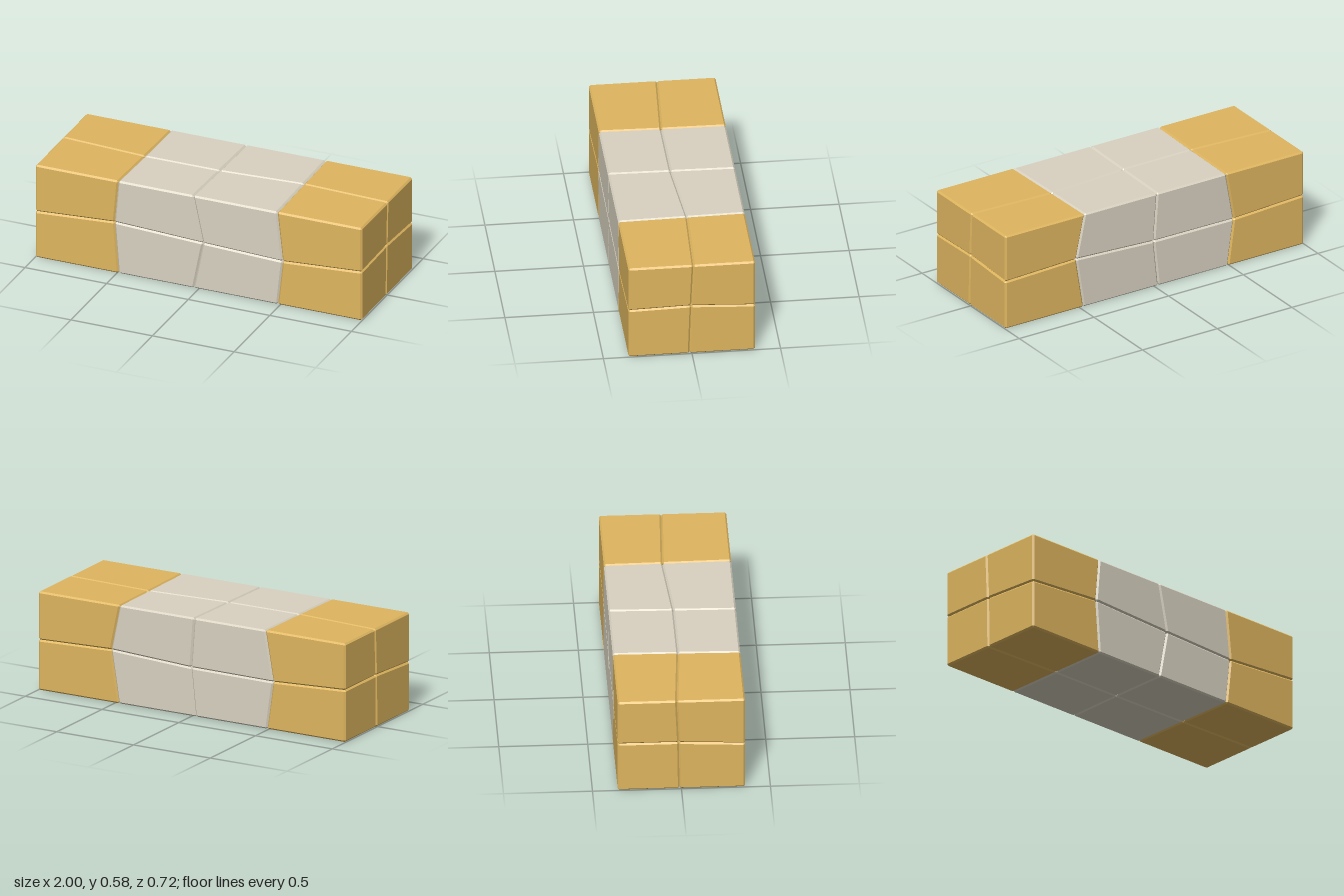
import * as THREE from 'three';

const W = 1, H = 0.578, D = 0.358, BEVEL = 0.0095;

// Seam positions of the wobbly 4 x 2 x 2 lattice.
// x of each cross seam: [seam][bottom, middle, top][back, centre, front]
const SEAM_X = [
  [[-0.49, -0.49, -0.49], [-0.53, -0.52, -0.515], [-0.478, -0.483, -0.492]],
  [[-0.025, -0.03, -0.03], [0.005, 0.01, 0.028], [-0.017, -0.025, -0.033]],
  [[0.475, 0.48, 0.485], [0.525, 0.515, 0.515], [0.468, 0.474, 0.482]],
];
// y of the level seam: [lattice column][back, centre, front]
const SEAM_Y = [
  [0.305, 0.305, 0.287], [0.282, 0.3, 0.317], [0.285, 0.29, 0.293],
  [0.31, 0.29, 0.275], [0.294, 0.313, 0.305],
];
// z of the lengthwise seam: [lattice column][bottom, middle, top]
const SEAM_Z = [
  [-0.01, -0.015, -0.027], [0, 0, 0.008], [0, 0, 0.006],
  [0.005, -0.01, -0.03], [0.014, 0.004, -0.008],
];

function latticePoint(i, j, k) {
  const x = i === 0 ? -W : i === 4 ? W : SEAM_X[i - 1][j][k];
  const y = j === 1 ? SEAM_Y[i][k] : j * H / 2;
  const z = k === 1 ? SEAM_Z[i][j] : (k - 1) * D;
  return new THREE.Vector3(x, y, z);
}

// Six-sided block with bevelled edges and corners, from its eight lattice corners
function blockGeometry(i, j, k) {
  const corners = [];
  for (let n = 0; n < 8; n++) {
    corners.push(latticePoint(i + (n & 1), j + ((n >> 1) & 1), k + ((n >> 2) & 1)));
  }
  const centre = corners.reduce((s, p) => s.add(p), new THREE.Vector3()).divideScalar(8);

  // Corner n as seen on the face across the given axis: slid inward along the other two edges
  const inset = (n, axis) => {
    const p = corners[n].clone();
    for (let a = 0; a < 3; a++) {
      if (a === axis) continue;
      const edge = corners[n ^ (1 << a)].clone().sub(corners[n]).normalize();
      p.addScaledVector(edge, BEVEL);
    }
    return p;
  };

  const positions = [];
  const addTriangle = (a, b, c) => {
    const normal = b.clone().sub(a).cross(c.clone().sub(a));
    const outward = normal.dot(a.clone().sub(centre)) > 0;
    for (const p of outward ? [a, b, c] : [a, c, b]) positions.push(p.x, p.y, p.z);
  };
  const addQuad = (a, b, c, d) => {
    addTriangle(a, b, c);
    addTriangle(a, c, d);
  };

  for (let axis = 0; axis < 3; axis++) {
    const u = 1 << ((axis + 1) % 3), v = 1 << ((axis + 2) % 3);
    // Two large faces across this axis
    for (const n of [0, 1 << axis]) {
      addQuad(...[n, n | u, n | u | v, n | v].map((m) => inset(m, axis)));
    }
    // Four bevels running along this axis
    const a1 = (axis + 1) % 3, a2 = (axis + 2) % 3;
    for (const n of [0, u, v, u | v]) {
      const m = n | (1 << axis);
      addQuad(inset(n, a1), inset(m, a1), inset(m, a2), inset(n, a2));
    }
  }
  // Clipped corners
  for (let n = 0; n < 8; n++) addTriangle(inset(n, 0), inset(n, 1), inset(n, 2));

  const geometry = new THREE.BufferGeometry();
  geometry.setAttribute('position', new THREE.Float32BufferAttribute(positions, 3));
  geometry.computeVertexNormals();
  return geometry;
}

export function createModel() {
  const model = new THREE.Group();
  model.name = 'blockStack';
  const gold = new THREE.MeshStandardMaterial({ color: 0xdfb65f, flatShading: true });
  const stone = new THREE.MeshStandardMaterial({ color: 0xd9d2c1, flatShading: true });

  // Gold blocks at both ends, pale blocks between
  for (let i = 0; i < 4; i++) {
    const isEnd = i === 0 || i === 3;
    for (let j = 0; j < 2; j++) {
      for (let k = 0; k < 2; k++) {
        const block = new THREE.Mesh(blockGeometry(i, j, k), isEnd ? gold : stone);
        block.name = `${j ? 'upper' : 'lower'}${k ? 'Front' : 'Back'}${isEnd ? 'End' : 'Middle'}Block${i < 2 ? 'Right' : 'Left'}`;
        model.add(block);
      }
    }
  }
  return model;
}
